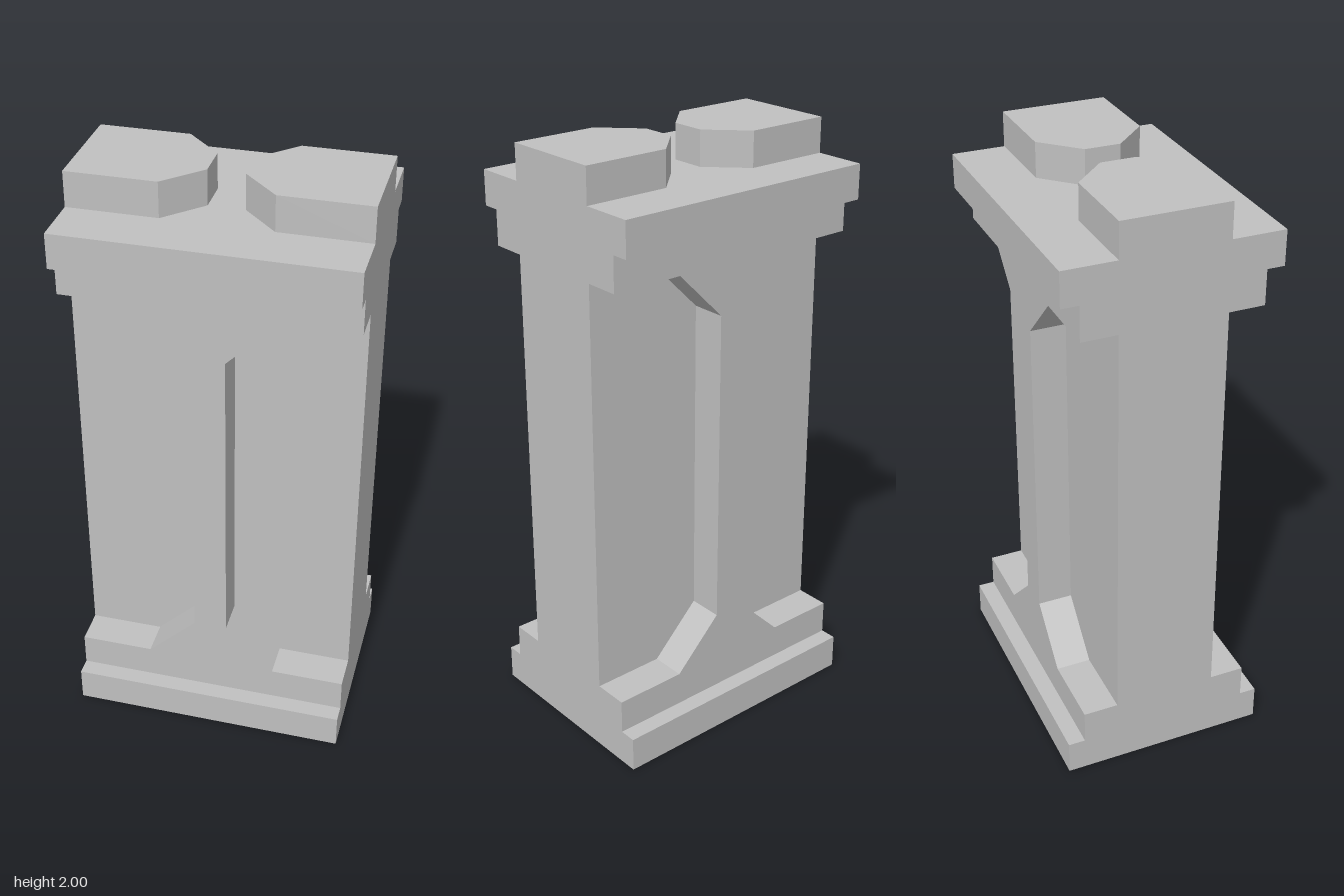
import * as THREE from 'three';

const HALF_WIDTH = 0.47;
const stone = new THREE.MeshStandardMaterial({ color: 0xc0c0c0, flatShading: true });
stone.name = 'light grey';

// Extrude a polygon along z, centred on z = 0
function prism(points, depth) {
  const shape = new THREE.Shape(points.map(([x, y]) => new THREE.Vector2(x, y)));
  const geometry = new THREE.ExtrudeGeometry(shape, { depth, bevelEnabled: false });
  return geometry.translate(0, 0, -depth / 2);
}

// Close a half outline by mirroring it across x = 0
function mirrored(half) {
  return [...half, ...half.map(([x, y]) => [-x, y]).reverse()];
}

function addMesh(group, name, geometry) {
  const mesh = new THREE.Mesh(geometry, stone);
  mesh.name = name;
  group.add(mesh);
  return mesh;
}

export function createModel() {
  const group = new THREE.Group();
  group.name = 'pillar';

  // Body: stepped foot, recessed core and stepped cap, swept along x
  const profile = mirrored([
    [0.353, 0], [0.353, 0.12], [0.295, 0.12], [0.295, 0.237],
    [0.176, 0.237], [0.176, 1.65], [0.295, 1.65], [0.295, 1.767],
    [0.353, 1.767], [0.353, 1.883],
  ]);
  addMesh(group, 'body', prism(profile, 2 * HALF_WIDTH).rotateY(Math.PI / 2));

  // Flared ribs up the middle of the front and back recesses
  const ribOutline = mirrored([[0.222, 0.237], [0.056, 0.403], [0.056, 1.484], [0.222, 1.65]]);
  for (const [name, side] of [['frontRib', 1], ['backRib', -1]]) {
    addMesh(group, name, prism(ribOutline, 0.119)).position.z = side * 0.2355;
  }

  // Top blocks with chamfered inner corners, facing each other across a gap
  const blockOutline = [
    [HALF_WIDTH, -0.176], [HALF_WIDTH, 0.176], [0.176, 0.176],
    [0.059, 0.059], [0.059, -0.059], [0.176, -0.176],
  ];
  for (const [name, turn] of [['leftTopBlock', 0], ['rightTopBlock', Math.PI]]) {
    const block = addMesh(group, name, prism(blockOutline, 0.117).rotateX(-Math.PI / 2));
    block.rotation.y = turn;
    block.position.y = 1.9415;
  }

  return group;
}
